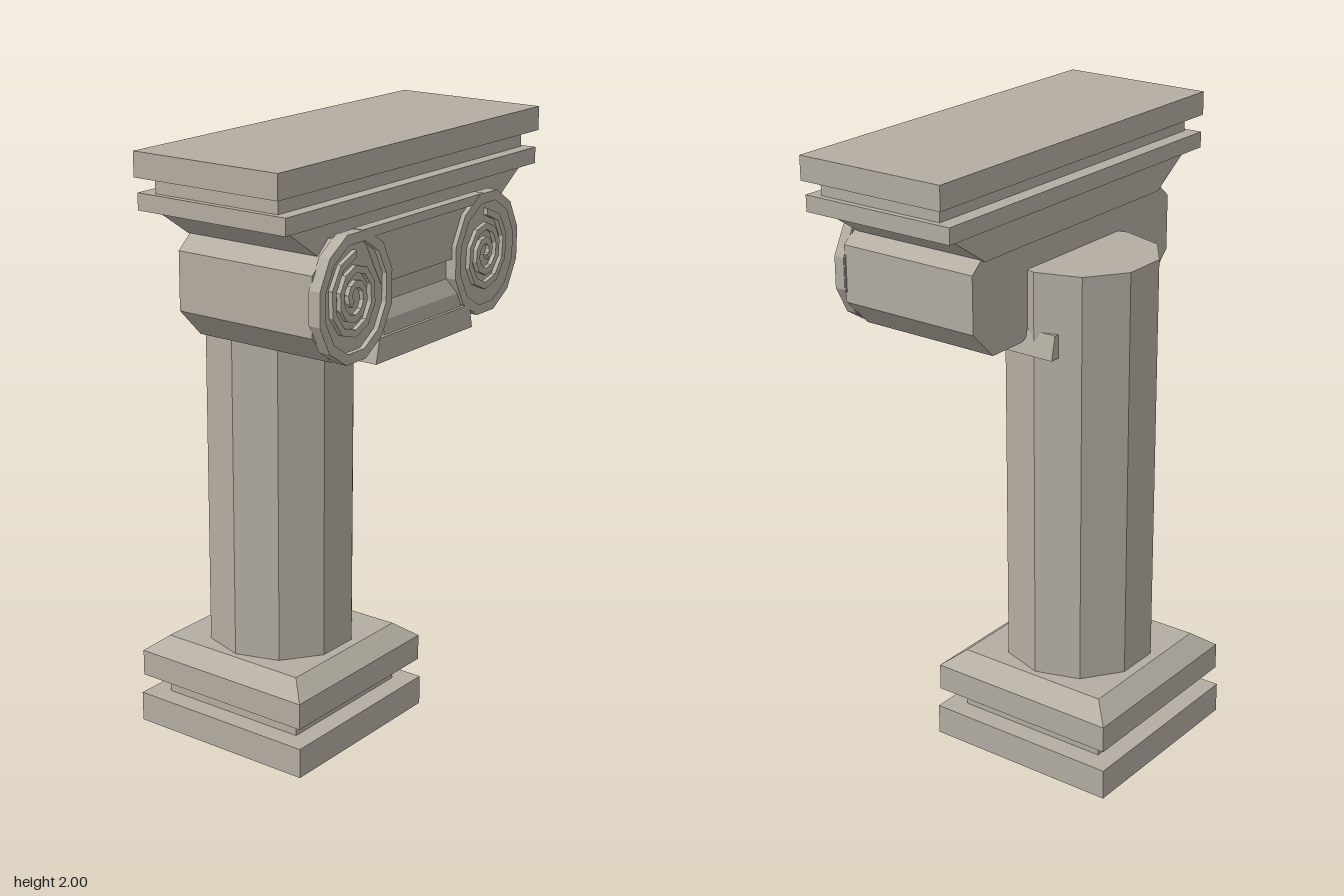
import * as THREE from 'three';

export function createModel() {
  const root = new THREE.Group();
  root.name = 'column';
  const stone = new THREE.MeshStandardMaterial({ color: 0xb3ada2, flatShading: true });
  stone.name = 'stone';

  const add = (name, geo) => {
    const mesh = new THREE.Mesh(geo, stone);
    mesh.name = name;
    root.add(mesh);
    return mesh;
  };
  // Box given by its half width, height range and depth range
  const block = (name, hx, y0, y1, z0, z1) =>
    add(name, new THREE.BoxGeometry(2 * hx, y1 - y0, z1 - z0)).position.set(0, (y0 + y1) / 2, (z0 + z1) / 2);
  // Front outline pushed through a depth range
  const slab = (name, pts, z0, z1, hole) => {
    const shape = new THREE.Shape(pts.map(([x, y]) => new THREE.Vector2(x, y)));
    if (hole) shape.holes.push(new THREE.Path(hole.map(([x, y]) => new THREE.Vector2(x, y))));
    const geo = new THREE.ExtrudeGeometry(shape, { depth: z1 - z0, bevelEnabled: false });
    return add(name, geo.translate(0, 0, z0));
  };
  // Right half outline completed by its mirror image
  const mirrored = (half) => [...half, ...half.map(([x, y]) => [-x, y]).reverse()];

  // Square base, set back under the shaft
  const shaftZ = -0.11;
  const square = (name, h, y0, y1) => block(name, h, y0, y1, shaftZ - h, shaftZ + h);
  square('plinth', 0.33, 0, 0.1);
  square('baseNeck', 0.263, 0.1, 0.165);
  square('baseBlock', 0.325, 0.165, 0.252);
  const bevel = new THREE.CylinderGeometry(0.262 * Math.SQRT2, 0.325 * Math.SQRT2, 0.05, 4, 1, false, Math.PI / 4);
  add('baseBevel', bevel).position.set(0, 0.277, shaftZ);

  // Ten-sided shaft
  const shaft = new THREE.CylinderGeometry(0.242, 0.242, 1.34, 10, 1, false, Math.PI / 2);
  add('shaft', shaft).position.set(0, 0.97, shaftZ);

  // Stepped top and its sloping underside
  block('topSlab', 0.66, 1.925, 2, -0.11, 0.405);
  block('topNeck', 0.615, 1.875, 1.925, -0.07, 0.37);
  block('lowerSlab', 0.635, 1.825, 1.876, -0.12, 0.412);
  slab('topTaper', mirrored([[0.44, 1.72], [0.6, 1.826]]), -0.088, 0.385);

  // Scroll body behind the volutes
  slab('scrollBody', mirrored([
    [0.2, 1.46], [0.27, 1.42], [0.41, 1.42], [0.5, 1.51], [0.5, 1.69], [0.4, 1.775],
  ]), -0.08, 0.405).position.x = -0.01;
  slab('capitalSill', mirrored([[0.252, 1.38], [0.235, 1.455]]), -0.183, 0.44);

  // Moulding between the volutes, drawn from the side and run across
  const cushion = new THREE.Shape([[-0.38, 1.455], [-0.38, 1.56], [-0.406, 1.545], [-0.43, 1.5], [-0.43, 1.455]]
    .map(([x, y]) => new THREE.Vector2(x, y)));
  const cushionGeo = new THREE.ExtrudeGeometry(cushion, { depth: 0.4, bevelEnabled: false });
  add('cushion', cushionGeo.translate(0, 0, -0.2).rotateY(Math.PI / 2));

  // Volutes: disc, raised rim, spiral ribbon and eye
  const cy = 1.6, cx = 0.337, shift = -0.012;
  const polar = (s, r, a) => [shift + s * (cx + 0.91 * r * Math.sin(a)), cy + r * Math.cos(a)];
  const ring = (s, r) => Array.from({ length: 12 }, (_, i) => polar(s, r, (i + 0.5) * Math.PI / 6));
  for (const s of [-1, 1]) {
    const side = s > 0 ? 'left' : 'right';
    slab(side + 'VoluteDisc', ring(s, 0.193), 0.4, 0.424);
    slab(side + 'VoluteRim', ring(s, 0.195), 0.404, 0.44, ring(s, 0.163));
    const outer = [], inner = [];
    for (let i = 0; i <= 24; i++) {
      const a = i * Math.PI / 5, r = 0.138 - 0.0044 * i;
      outer.push(polar(s, r, a));
      inner.unshift(polar(s, r - 0.022, a));
    }
    slab(side + 'VoluteSpiral', [...outer, ...inner], 0.42, 0.438);
  }

  // Band joining the volutes, with a raised upper lip
  slab('voluteBand', mirrored([[0.2, 1.61], [0.3, 1.785]]), 0.4, 0.425).position.x = shift;
  slab('voluteBandLip', mirrored([[0.31, 1.762], [0.31, 1.79]]), 0.404, 0.439).position.x = shift;

  return root;
}
